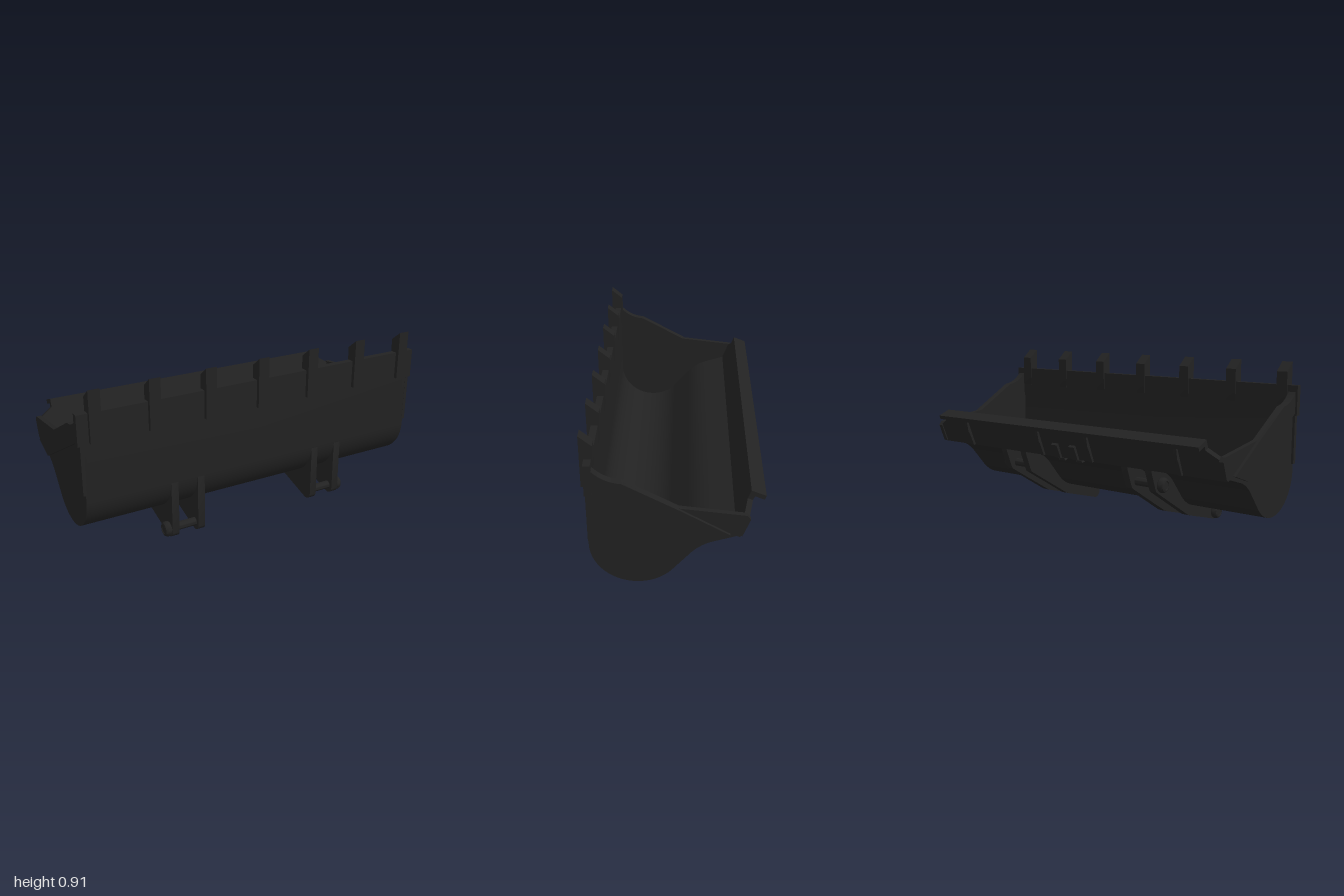
import * as THREE from 'three';
import { toCreasedNormals } from 'three/addons/utils/BufferGeometryUtils.js';

const paint = new THREE.MeshStandardMaterial({ color: 0x222222, side: THREE.DoubleSide });
const V = (z, y) => new THREE.Vector2(z, y);
const toPoints = (list) => list.map(([z, y]) => V(z, y));

function add(parent, name, geometry) {
  const mesh = new THREE.Mesh(geometry, paint);
  mesh.name = name;
  parent.add(mesh);
  return mesh;
}

// Extrude a (z, y) outline sideways from x0 to x1
function slab(points, x0, x1) {
  const geo = new THREE.ExtrudeGeometry(new THREE.Shape(points), { depth: x1 - x0, bevelEnabled: false });
  geo.rotateY(-Math.PI / 2).translate(x1, 0, 0);
  return toCreasedNormals(geo, 0.5);
}

function block(x0, x1, y0, y1, z0, z1) {
  return new THREE.BoxGeometry(x1 - x0, y1 - y0, z1 - z0)
    .translate((x0 + x1) / 2, (y0 + y1) / 2, (z0 + z1) / 2);
}

// Rolled floor: arc, short straight, reverse curve to the rear wall
function floorCurve() {
  const pts = [];
  for (let i = 0; i <= 24; i++) {
    const a = -i / 24 * 2.48;
    pts.push(V(0.18 + 0.224 * Math.cos(a), 0.342 + 0.222 * Math.sin(a)));
  }
  const bend = new THREE.QuadraticBezierCurve(V(-0.07, 0.29), V(-0.12, 0.35), V(-0.2, 0.37));
  return [...pts, ...bend.getPoints(8), V(-0.3, 0.4)];
}

// Shift a polyline towards the bucket's inside
function inset(pts, d) {
  return pts.map((p, i) => {
    const a = pts[Math.max(i - 1, 0)], b = pts[Math.min(i + 1, pts.length - 1)];
    const t = b.clone().sub(a).normalize();
    return V(p.x + t.y * d, p.y - t.x * d);
  });
}

export function createModel() {
  const model = new THREE.Group();
  model.name = 'loaderBucket';
  const floor = floorCurve();

  // Front wall and rolled floor in one sheet
  const outer = [V(0.404, 0.7), ...floor];
  add(model, 'shell', slab([...outer, ...inset(outer, 0.022).reverse()], -0.96, 0.96));

  // Cutting edge across the front
  add(model, 'cuttingEdge', block(-1, 1, 0.63, 0.79, 0.374, 0.408));

  // Teeth clamped over the cutting edge
  const tooth = toPoints([[0.428, 0.91], [0.428, 0.642], [0.4, 0.642], [0.375, 0.67], [0.368, 0.755], [0.367, 0.86]]);
  for (let i = -3; i <= 3; i++) {
    const x = i * 0.304;
    add(model, 'tooth', slab(tooth, x - 0.03, x + 0.03));
  }

  // Side plates with stiffeners
  const scoop = new THREE.QuadraticBezierCurve(V(0.24, 0.692), V(0.32, 0.698), V(0.372, 0.755)).getPoints(8);
  const side = [...floor, V(-0.315, 0.395), V(-0.352, 0.49), V(-0.335, 0.512), V(-0.02, 0.55), ...scoop, V(0.404, 0.755)];
  const stiffener = [V(0.38, 0.645), V(-0.13, 0.365), V(-0.26, 0.41), V(-0.02, 0.55), ...scoop];
  for (const s of [-1, 1]) {
    const span = (a, b) => (s > 0 ? [a, b] : [-b, -a]);
    add(model, 'sidePlate', slab(side, ...span(0.95, 0.975)));
    add(model, 'sideStiffener', slab(stiffener, ...span(0.97, 0.99)));
    add(model, 'cornerStrip', block(...span(0.97, 0.988), 0.37, 0.64, 0.38, 0.405));
  }

  // Leaning rear wall with clipped corners, top flange and ribs
  const rear = new THREE.Group();
  rear.name = 'rearWall';
  rear.position.set(0, 0.4, -0.28);
  rear.rotation.x = -0.38;
  model.add(rear);
  const panel = new THREE.Shape(toPoints([[-0.975, 0], [0.975, 0], [0.975, 0.1], [0.885, 0.16],
    [0.885, 0.2], [-0.885, 0.2], [-0.885, 0.16], [-0.975, 0.1]]));
  add(rear, 'rearPanel', new THREE.ExtrudeGeometry(panel, { depth: 0.027, bevelEnabled: false }).translate(0, 0, -0.027));
  add(rear, 'topFlange', block(-0.885, 0.885, 0.182, 0.205, -0.077, 0));
  const rib = toPoints([[-0.01, 0], [-0.01, 0.18], [-0.034, 0.18], [-0.048, 0.1], [-0.044, 0.085], [-0.041, 0.005]]);
  for (const x of [-0.72, -0.17, 0.17, 0.72]) add(rear, 'rearRib', slab(rib, x - 0.01, x + 0.01));
  const stop = toPoints([[-0.01, -0.03], [-0.01, 0.09], [-0.044, 0.085], [-0.041, 0.005], [0.02, -0.03]]);
  for (const x of [-0.06, 0.06]) add(rear, 'centreStop', slab(stop, x - 0.02, x + 0.02));

  // Pairs of mounting lugs hugging the floor, each pair joined by two pins
  const lug = [V(0.404, 0.32)];
  for (let i = 0; i <= 8; i++) {
    const a = -i / 8 * 1.82;
    lug.push(V(0.365 + 0.04 * Math.cos(a), 0.04 + 0.04 * Math.sin(a)));
  }
  lug.push(...toPoints([[0.11, 0.07], [0.08, 0.08], [-0.21, 0.25], [-0.23, 0.262], [-0.24, 0.28], [-0.275, 0.37], [-0.28, 0.394]]));
  lug.push(...inset(floor, 0.01).slice(0, -1).reverse());

  const pinProfile = toPoints([[0, 0.34], [0.022, 0.34], [0.022, 0.522], [0.034, 0.522], [0.04, 0.53],
    [0.04, 0.545], [0.033, 0.557], [0.024, 0.56], [0.021, 0.556], [0, 0.556]]);
  const pinGeo = toCreasedNormals(new THREE.LatheGeometry(pinProfile, 24).rotateZ(-Math.PI / 2), 0.6);
  for (const s of [-1, 1]) {
    const mount = new THREE.Group();
    mount.name = s > 0 ? 'leftMount' : 'rightMount';
    model.add(mount);
    for (const x of [0.355, 0.505]) add(mount, 'mountLug', slab(lug, s * x - 0.02, s * x + 0.02));
    for (const [z, y] of [[0.365, 0.045], [-0.19, 0.295]]) {
      const pin = add(mount, 'mountPin', pinGeo);
      pin.position.set(0, y, z);
      if (s < 0) pin.rotation.y = Math.PI;
    }
  }
  return model;
}
